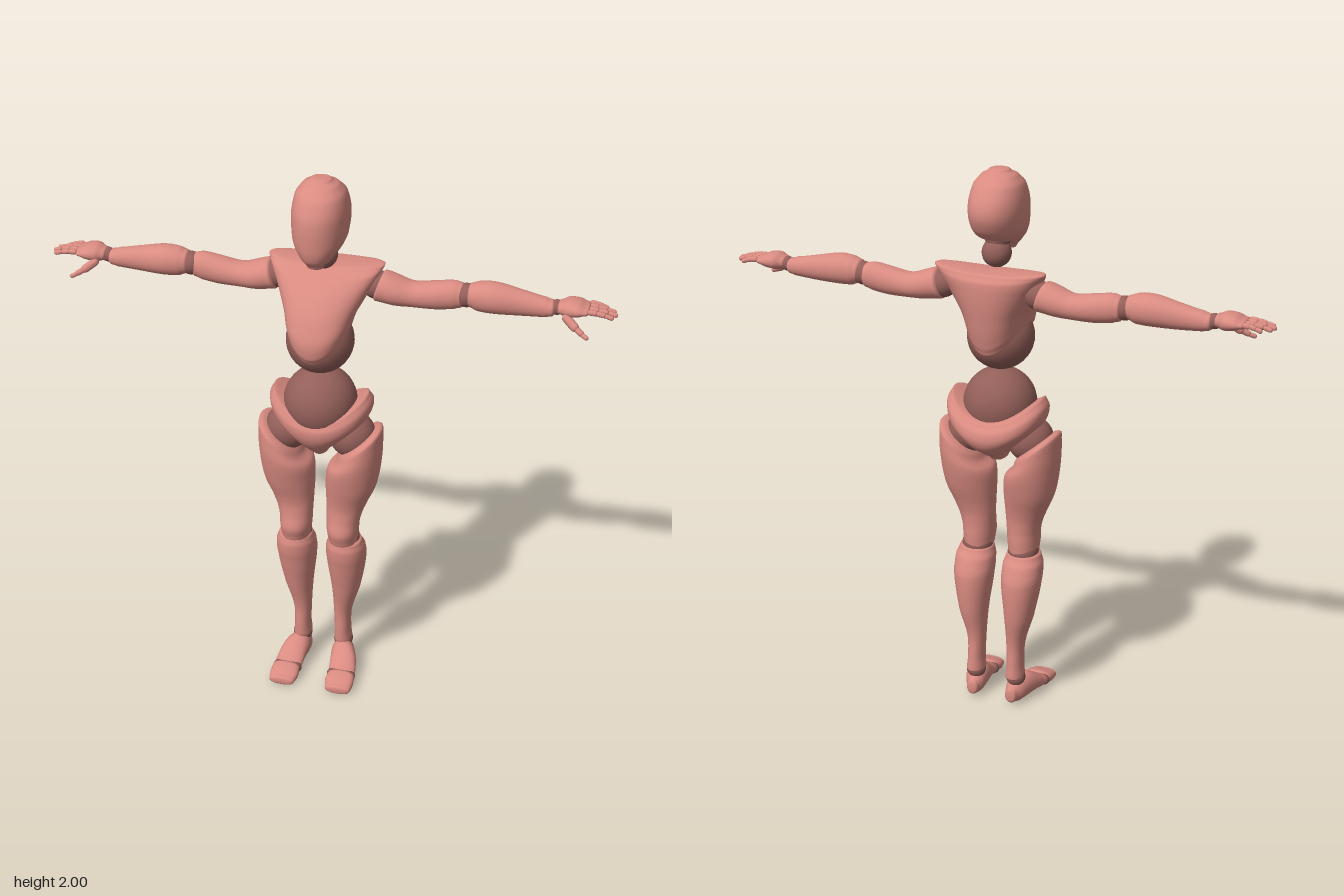
import * as THREE from 'three';

const skin = new THREE.MeshStandardMaterial({ color: 0xd98b81 });
skin.name = 'salmon shell';
const joint = new THREE.MeshStandardMaterial({ color: 0x935f59 });
joint.name = 'dark joint';

// Smooth closed body from cross-sections in rising order along an axis.
// Row: [t, a0, a1, b0, b1, lift, tilt]; (a, b) = (x, z) on axis y, (y, z) on axis x, (x, y) on axis z.
// lift raises both a-sides of a section, tilt slants it along a.
function loft(axis, rows, { low = 0.012, high = 0.012, n = 2.1, seg = 36, sub = 5 } = {}) {
  const full = rows.map(r => [...r, 0, 0].slice(0, 7));
  const at = (i, k) => full[Math.max(0, Math.min(full.length - 1, i))][k];
  const rings = [];
  for (let i = 0; i < full.length - 1; i++) {
    for (let s = 0; s < sub; s++) {
      const u = s / sub;
      rings.push(full[0].map((_, k) => {
        const p = at(i - 1, k), q = at(i, k), r = at(i + 1, k), w = at(i + 2, k);
        return k === 0 ? q + (r - q) * u
          : q + 0.5 * u * (r - p + u * (2 * p - 5 * q + 4 * r - w + u * (3 * (q - r) + w - p)));
      }));
    }
  }
  rings.push(full[full.length - 1]);
  const list = rings.map(r => ({ r, scale: 1, shift: 0 }));
  // rounded ends
  for (let k = 1; k <= 5; k++) {
    const f = k / 5 * Math.PI / 2, scale = k === 5 ? 0.001 : Math.sqrt(Math.cos(f));
    list.unshift({ r: full[0], scale, shift: -low * Math.sin(f) });
    list.push({ r: full[full.length - 1], scale, shift: high * Math.sin(f) });
  }
  const pos = [], index = [];
  const round = v => Math.sign(v) * Math.pow(Math.abs(v), 2 / n);
  list.forEach(({ r, scale, shift }, i) => {
    for (let j = 0; j < seg; j++) {
      const th = j / seg * Math.PI * 2;
      const c = round(Math.cos(th)) * scale;
      const d = round(Math.sin(th)) * scale * (axis === 'y' ? -1 : 1);
      const a = (r[1] + r[2]) / 2 + c * (r[2] - r[1]) / 2;
      const b = (r[3] + r[4]) / 2 + d * (r[4] - r[3]) / 2;
      const t = r[0] + shift + r[5] * c * c + r[6] * c;
      pos.push(...(axis === 'y' ? [a, t, b] : axis === 'x' ? [t, a, b] : [a, b, t]));
      if (i < list.length - 1) {
        const k = (j + 1) % seg, p = i * seg, q = p + seg;
        index.push(p + j, p + k, q + k, p + j, q + k, q + j);
      }
    }
  });
  const geo = new THREE.BufferGeometry();
  geo.setAttribute('position', new THREE.Float32BufferAttribute(pos, 3));
  geo.setIndex(index);
  geo.computeVertexNormals();
  return geo;
}

const ball = (x, y, z, r) => new THREE.SphereGeometry(r, 32, 20).translate(x, y, z);

// Capsule between two points
function bone(p, q, r) {
  const a = new THREE.Vector3(...p), b = new THREE.Vector3(...q), d = b.clone().sub(a);
  const geo = new THREE.CapsuleGeometry(r, d.length(), 4, 10);
  geo.applyQuaternion(new THREE.Quaternion().setFromUnitVectors(new THREE.Vector3(0, 1, 0), d.normalize()));
  const m = a.add(b).multiplyScalar(0.5);
  return geo.translate(m.x, m.y, m.z);
}

function mirrored(geo) {
  const g = geo.clone().scale(-1, 1, 1), ix = g.index;
  for (let i = 0; i < ix.count; i += 3) {
    const t = ix.getX(i);
    ix.setX(i, ix.getX(i + 1));
    ix.setX(i + 1, t);
  }
  return g;
}

export function createModel() {
  const model = new THREE.Group();
  model.name = 'jointedMannequin';
  const add = (name, geo, mat = skin) => {
    const m = new THREE.Mesh(geo, mat);
    m.name = name;
    model.add(m);
  };
  const pair = (name, geo, mat) => {
    add(name + 'Left', geo, mat);
    add(name + 'Right', mirrored(geo), mat);
  };

  // Head and neck
  add('head', loft('y', [
    [1.715, -0.028, 0.028, 0.045, 0.085], [1.74, -0.048, 0.048, 0.0, 0.108],
    [1.77, -0.075, 0.075, -0.09, 0.118], [1.80, -0.089, 0.089, -0.127, 0.121],
    [1.85, -0.095, 0.095, -0.149, 0.122], [1.90, -0.094, 0.094, -0.143, 0.115],
    [1.95, -0.083, 0.083, -0.112, 0.088], [1.98, -0.06, 0.06, -0.072, 0.05],
    [1.992, -0.038, 0.038, -0.046, 0.026],
  ], { low: 0.008, high: 0.008, n: 2.15 }));
  add('neck', ball(0, 1.715, -0.035, 0.051), joint);
  add('neckTop', ball(0, 1.765, -0.025, 0.045), joint);

  // Torso
  add('chest', loft('y', [
    [1.375, -0.1, 0.1, -0.13, 0.125, 0.085], [1.40, -0.108, 0.108, -0.14, 0.14, 0.075],
    [1.45, -0.115, 0.115, -0.152, 0.143, 0.05], [1.50, -0.124, 0.124, -0.16, 0.126, 0.025],
    [1.55, -0.138, 0.138, -0.167, 0.1], [1.60, -0.163, 0.163, -0.17, 0.058],
    [1.64, -0.19, 0.19, -0.168, 0.012, 0.01], [1.66, -0.202, 0.202, -0.155, -0.028, 0.014],
  ], { low: 0.006, high: 0.01, n: 2.2, seg: 48 }));
  add('waistBallUpper', ball(0, 1.41, 0, 0.118), joint);
  add('waistBallLower', ball(0, 1.165, -0.005, 0.13), joint);
  add('pelvis', loft('y', [
    [0.97, -0.03, 0.03, -0.06, 0.035], [0.995, -0.06, 0.06, -0.1, 0.068, 0.015],
    [1.03, -0.115, 0.115, -0.152, 0.1, 0.03], [1.065, -0.17, 0.17, -0.172, 0.118, 0.055],
    [1.10, -0.184, 0.184, -0.168, 0.122, 0.075], [1.125, -0.168, 0.168, -0.148, 0.112, 0.085],
  ], { low: 0.01, high: 0.012, seg: 48 }));

  // Legs
  pair('hipJoint', ball(0.115, 1.045, -0.005, 0.083), joint);
  pair('thigh', loft('y', [
    [0.605, 0.035, 0.142, -0.06, 0.068], [0.65, 0.03, 0.145, -0.062, 0.08],
    [0.70, 0.028, 0.15, -0.062, 0.07], [0.76, 0.025, 0.17, -0.07, 0.067],
    [0.85, 0.022, 0.206, -0.098, 0.088], [0.94, 0.03, 0.222, -0.116, 0.104, 0, 0.03],
    [1.01, 0.065, 0.222, -0.112, 0.098, 0, 0.06],
  ], { high: 0.028 }));
  pair('kneeJoint', ball(0.09, 0.605, -0.005, 0.056), joint);
  pair('shin', loft('y', [
    [0.115, 0.045, 0.112, -0.092, -0.002], [0.16, 0.048, 0.108, -0.088, 0],
    [0.25, 0.045, 0.112, -0.085, 0.002], [0.36, 0.038, 0.142, -0.105, 0.026],
    [0.50, 0.022, 0.165, -0.111, 0.055], [0.565, 0.022, 0.165, -0.088, 0.064],
    [0.595, 0.03, 0.155, -0.065, 0.058],
  ]));
  pair('ankleJoint', ball(0.08, 0.105, -0.045, 0.036), joint);
  pair('foot', loft('z', [
    [-0.085, 0.055, 0.1, 0.015, 0.075], [-0.055, 0.045, 0.118, 0.008, 0.1],
    [-0.01, 0.043, 0.135, 0.01, 0.114], [0.03, 0.048, 0.148, 0.015, 0.095],
    [0.08, 0.053, 0.155, 0.012, 0.062],
  ]));
  pair('toeJoint', bone([0.072, 0.034, 0.09], [0.136, 0.034, 0.09], 0.022), joint);
  pair('toes', loft('z', [
    [0.1, 0.055, 0.158, 0.008, 0.06], [0.13, 0.053, 0.16, 0.004, 0.052],
    [0.162, 0.06, 0.156, 0.004, 0.04],
  ], { n: 2.5 }));

  // Arms
  pair('shoulderJoint', ball(0.175, 1.6, -0.083, 0.05), joint);
  pair('upperArm', loft('x', [
    [0.19, 1.546, 1.65, -0.143, -0.022, 0, 0.015], [0.24, 1.537, 1.64, -0.144, -0.022],
    [0.30, 1.535, 1.622, -0.137, -0.036], [0.38, 1.535, 1.633, -0.136, -0.04],
    [0.44, 1.542, 1.642, -0.132, -0.045], [0.465, 1.55, 1.637, -0.128, -0.05],
  ]));
  pair('elbowJoint', ball(0.483, 1.597, -0.086, 0.041), joint);
  pair('forearm', loft('x', [
    [0.5, 1.56, 1.643, -0.125, -0.042], [0.525, 1.55, 1.652, -0.131, -0.035],
    [0.58, 1.548, 1.655, -0.135, -0.03], [0.67, 1.55, 1.638, -0.125, -0.044],
    [0.75, 1.555, 1.622, -0.118, -0.05], [0.77, 1.56, 1.616, -0.116, -0.052],
  ]));
  pair('wristJoint', ball(0.787, 1.593, -0.084, 0.026), joint);
  pair('palm', loft('x', [
    [0.8, 1.575, 1.62, -0.115, -0.048], [0.825, 1.57, 1.63, -0.132, -0.034],
    [0.86, 1.576, 1.627, -0.138, -0.03], [0.885, 1.585, 1.616, -0.132, -0.036],
  ], { low: 0.01 }));

  // Fingers, each with three segments
  const fingers = { little: [-0.122, 0.953], ring: [-0.098, 0.982], middle: [-0.074, 0.99], index: [-0.05, 0.978] };
  for (const [name, [z, tip]] of Object.entries(fingers)) {
    const point = f => [0.895 + (tip - 0.895) * f, 1.604 - 0.014 * f * f, z];
    for (let k = 0; k < 3; k++) {
      pair(`${name}FingerSegment${k + 1}`, bone(point(k / 3 + 0.06), point(k / 3 + 0.24), 0.0098 - k * 0.0009));
    }
    pair(name + 'FingerCore', bone(point(-0.05), point(0.9), 0.0055), joint);
  }
  pair('thumbBase', bone([0.825, 1.578, -0.042], [0.855, 1.556, -0.026], 0.015));
  pair('thumbMiddle', bone([0.865, 1.55, -0.021], [0.878, 1.543, -0.014], 0.0105));
  pair('thumbTip', bone([0.886, 1.538, -0.01], [0.898, 1.533, -0.004], 0.008));
  return model;
}
